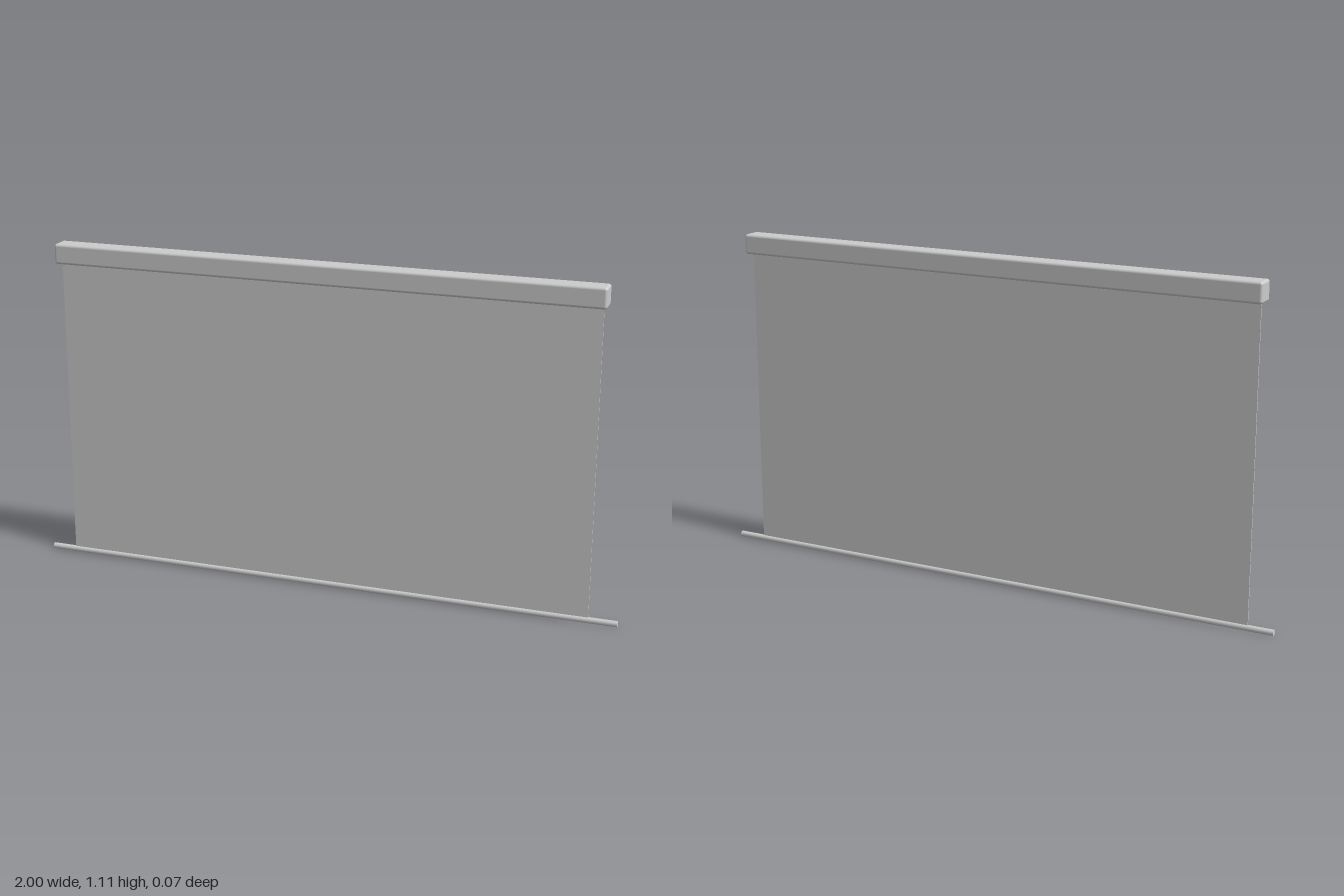
import * as THREE from 'three';
import { RoundedBoxGeometry } from 'three/addons/geometries/RoundedBoxGeometry.js';

export function createModel() {
  const model = new THREE.Group();
  model.name = 'projectionScreen';
  const material = new THREE.MeshStandardMaterial({ color: 0xcccccc });

  const add = (name, geometry, x, y) => {
    const mesh = new THREE.Mesh(geometry, material);
    mesh.name = name;
    mesh.position.set(x, y, 0);
    model.add(mesh);
  };

  // Roller housing with softly rounded edges
  add('housing', new RoundedBoxGeometry(1.846, 0.068, 0.068, 3, 0.009), -0.005, 1.074);

  // Thin hanging sheet, running from inside the housing into the weight bar
  add('screenSheet', new THREE.BoxGeometry(1.82, 1.04, 0.004), -0.005, 0.535);

  // Round weight bar along the bottom hem
  const bar = new THREE.CylinderGeometry(0.01, 0.01, 2, 12);
  bar.rotateZ(Math.PI / 2);
  add('weightBar', bar, 0, 0.01);

  return model;
}
